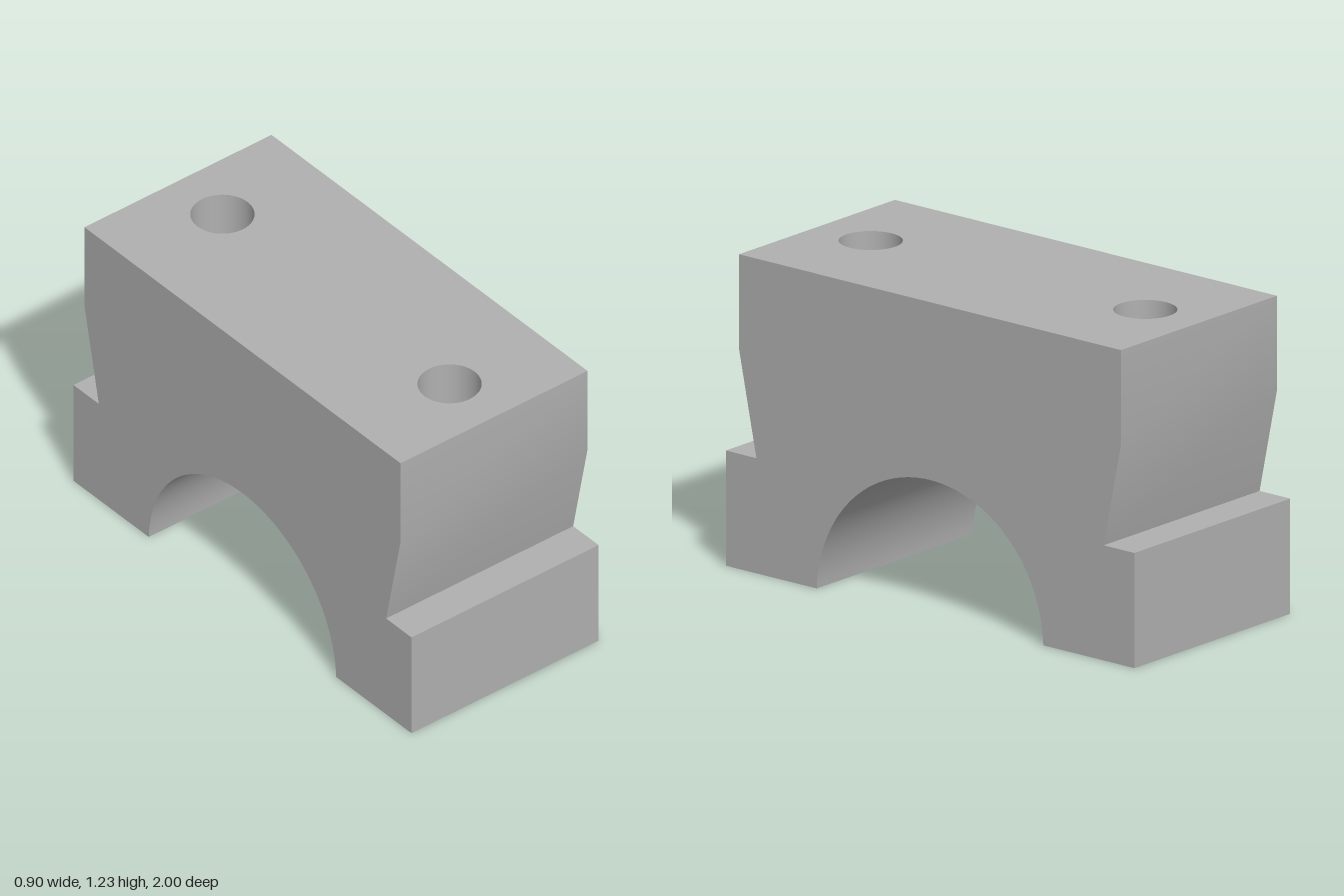
import * as THREE from 'three';

const HALF_WIDTH = 0.45, HEIGHT = 1.23;
const BORE_RADIUS = 0.555, BORE_Y = -0.02, BORE_EDGE = 0.5546;
const HOLE_RADIUS = 0.12;
const TOP_HOLE_Z = 0.672, FOOT_HOLE_Z = 0.787;
const BODY_Z = 0.935, WAIST_Z = 0.85, LEDGE_Y = 0.45, KINK_Y = 0.86;

// Smooth band across the full width, following [z, y] points.
function strip(points) {
  const positions = [], index = [];
  points.forEach(([z, y], i) => {
    positions.push(HALF_WIDTH, y, z, -HALF_WIDTH, y, z);
    if (i > 0) {
      const a = 2 * (i - 1);
      index.push(a, a + 1, a + 3, a, a + 3, a + 2);
    }
  });
  const geometry = new THREE.BufferGeometry();
  geometry.setAttribute('position', new THREE.Float32BufferAttribute(positions, 3));
  geometry.setIndex(index);
  geometry.computeVertexNormals();
  return geometry;
}

// Rectangle from z0 to z1 with round holes on its centre line.
function drilledPlate(z0, z1, holeCentres) {
  const shape = new THREE.Shape([
    new THREE.Vector2(-HALF_WIDTH, z0), new THREE.Vector2(HALF_WIDTH, z0),
    new THREE.Vector2(HALF_WIDTH, z1), new THREE.Vector2(-HALF_WIDTH, z1),
  ]);
  for (const z of holeCentres) {
    shape.holes.push(new THREE.Path().absarc(0, z, HOLE_RADIUS, 0, Math.PI * 2, true));
  }
  return new THREE.ShapeGeometry(shape, 24);
}

export function createModel() {
  const model = new THREE.Group();
  model.name = 'bearingCap';
  const metal = new THREE.MeshStandardMaterial({ color: 0xb0b0b0, side: THREE.DoubleSide });
  metal.name = 'grey metal';

  const add = (name, geometry, parent = model) => {
    const mesh = new THREE.Mesh(geometry, metal);
    mesh.name = name;
    parent.add(mesh);
    return mesh;
  };

  // Blind hole: wall and floor; direction is the way it is drilled.
  const addHole = (name, z, mouthY, depth, direction) => {
    const hole = new THREE.Group();
    hole.name = name;
    const wall = new THREE.CylinderGeometry(HOLE_RADIUS, HOLE_RADIUS, depth, 48, 1, true);
    add('holeWall', wall, hole).position.y = direction * depth / 2;
    const floor = new THREE.CircleGeometry(HOLE_RADIUS, 48).rotateX(direction * Math.PI / 2);
    add('holeFloor', floor, hole).position.y = direction * depth;
    hole.position.set(0, mouthY, z);
    model.add(hole);
  };

  // Semicircular bore, from front to back
  const arch = [];
  const start = Math.asin(-BORE_Y / BORE_RADIUS);
  for (let i = 0; i <= 64; i++) {
    const angle = start + (Math.PI - 2 * start) * i / 64;
    arch.push([BORE_RADIUS * Math.cos(angle), BORE_Y + BORE_RADIUS * Math.sin(angle)]);
  }
  add('bore', strip(arch));

  // Flat left and right cheeks
  const flank = [[BODY_Z, HEIGHT], [BODY_Z, KINK_Y], [WAIST_Z, LEDGE_Y]];
  const half = [...flank, [1, LEDGE_Y], [1, 0]];
  const mirrored = half.map(([z, y]) => [-z, y]).reverse();
  const outline = [...half, ...arch, ...mirrored].map(([z, y]) => new THREE.Vector2(z, y));
  for (const side of [1, -1]) {
    const cheek = new THREE.ShapeGeometry(new THREE.Shape(outline));
    cheek.rotateY(side * Math.PI / 2);
    cheek.translate(side * HALF_WIDTH, 0, 0);
    add(side > 0 ? 'leftCheek' : 'rightCheek', cheek);
  }

  // Top face with two holes
  const top = drilledPlate(-BODY_Z, BODY_Z, [TOP_HOLE_Z, -TOP_HOLE_Z]);
  add('topFace', top.rotateX(-Math.PI / 2)).position.y = HEIGHT;

  // Front and back: tapered flank, ledge, foot and drilled sole
  for (const [side, prefix] of [[1, 'front'], [-1, 'back']]) {
    const turn = side > 0 ? 0 : Math.PI;
    add(prefix + 'Flank', strip(flank).rotateY(turn));
    add(prefix + 'Ledge', strip([[WAIST_Z, LEDGE_Y], [1, LEDGE_Y]]).rotateY(turn));
    add(prefix + 'FootFace', strip([[1, LEDGE_Y], [1, 0]]).rotateY(turn));
    const sole = drilledPlate(BORE_EDGE, 1, [FOOT_HOLE_Z]);
    add(prefix + 'Sole', sole.rotateX(Math.PI / 2).rotateY(turn));
    addHole(prefix + 'TopHole', side * TOP_HOLE_Z, HEIGHT, 0.5, -1);
    addHole(prefix + 'FootHole', side * FOOT_HOLE_Z, 0, 0.3, 1);
  }
  return model;
}
